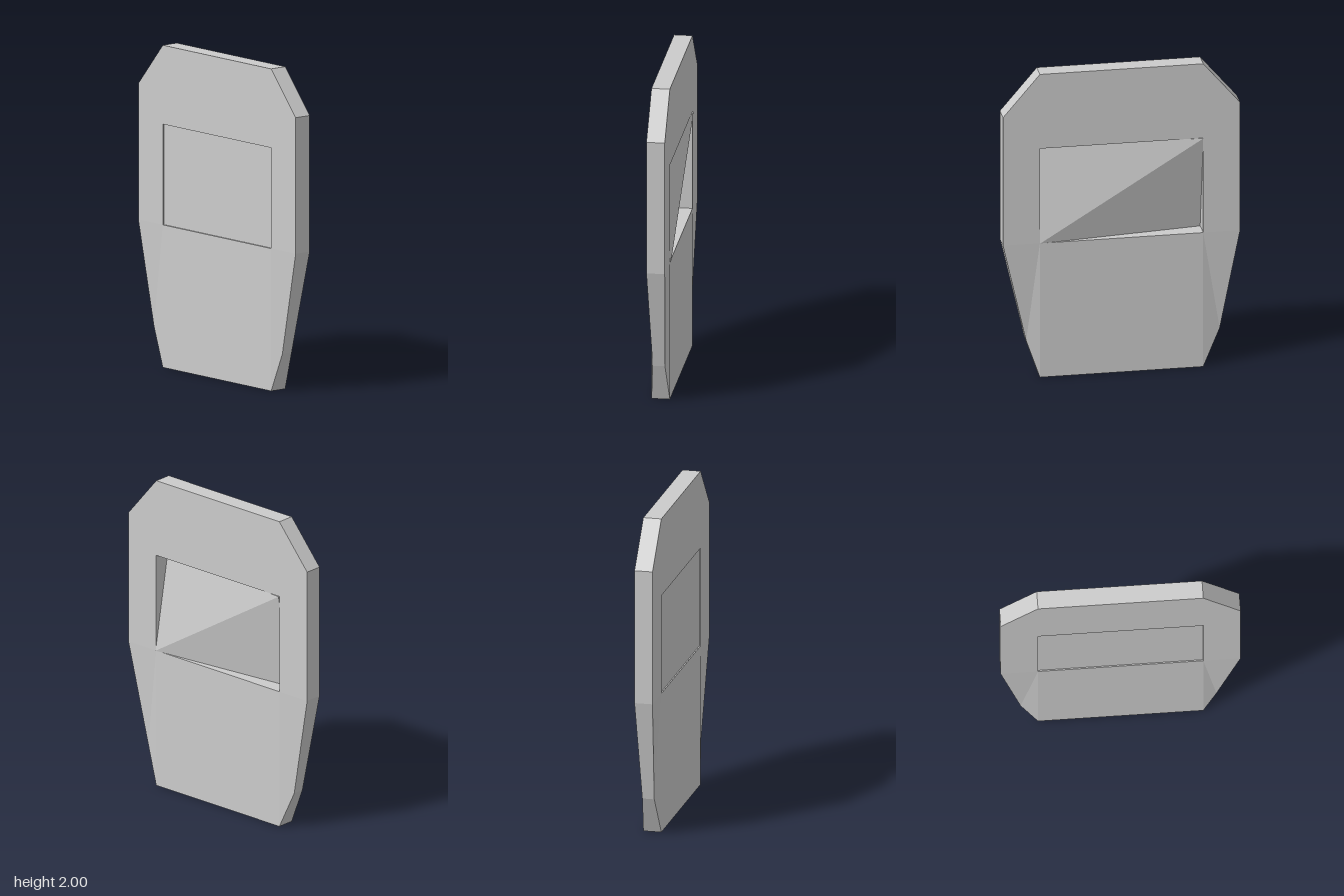
import * as THREE from 'three';

const FRONT = 0.06, BACK = -0.053, PINCH = 0.019;

// Flat-shaded mesh from corner points and convex polygons (counter-clockwise from outside)
function facetMesh(name, points, polygons, material) {
  const positions = [];
  for (const poly of polygons) {
    for (let i = 1; i < poly.length - 1; i++) {
      for (const k of [poly[0], poly[i], poly[i + 1]]) positions.push(...points[k]);
    }
  }
  const geometry = new THREE.BufferGeometry();
  geometry.setAttribute('position', new THREE.Float32BufferAttribute(positions, 3));
  geometry.computeVertexNormals();
  const mesh = new THREE.Mesh(geometry, material);
  mesh.name = name;
  return mesh;
}

// Chamfered plate with a rectangular window and pinched lower corners
function createPlate(material) {
  const outline = [
    [-0.505, 0], [0.505, 0], [0.587, 0.24], [0.733, 0.885], [0.733, 1.73],
    [0.505, 2], [-0.505, 2], [-0.733, 1.73], [-0.733, 0.885], [-0.61, 0.24],
  ];
  const opening = [[-0.505, 0.885], [0.505, 0.885], [0.505, 1.51], [-0.505, 1.51]];
  const flat = [...outline, ...opening];
  const n = flat.length;
  const pinch = (y) => (y === 0.24 ? PINCH : 0);
  const points = [
    ...flat.map(([x, y]) => [x, y, FRONT - pinch(y)]),
    ...flat.map(([x, y]) => [x, y, BACK + pinch(y)]),
  ];
  const face = [
    [0, 1, 11, 10], [1, 2, 11], [2, 3, 11], [3, 4, 12, 11], [4, 5, 12],
    [5, 6, 13, 12], [6, 7, 13], [7, 8, 10, 13], [8, 9, 10], [9, 0, 10],
  ];
  const polygons = [...face, ...face.map((p) => p.map((k) => k + n).reverse())];
  // outer rim
  for (let i = 0; i < 10; i++) {
    const j = (i + 1) % 10;
    polygons.push([i, i + n, j + n, j]);
  }
  // window walls
  for (let i = 0; i < 4; i++) {
    const a = 10 + i, b = 10 + (i + 1) % 4;
    polygons.push([a, b, b + n, a + n]);
  }
  return facetMesh('plate', points, polygons, material);
}

// Window insert: flat in front, folded along a diagonal ridge behind
function createInsert(material) {
  const w = 0.504, y0 = 0.886, y1 = 1.509, zf = 0.053, zb = -0.06;
  const points = [
    [-w, y0, zf], [w, y0, zf], [w, y1, zf], [-w, y1, zf],
    [w, y0, zb], [-w, y1, zb], // ridge ends
  ];
  const polygons = [
    [0, 1, 2, 3],
    [2, 4, 5], [0, 5, 4],       // back slopes
    [0, 4, 1], [1, 4, 2],       // sides at the lower ridge end
    [2, 5, 3], [3, 5, 0],       // sides at the upper ridge end
  ];
  return facetMesh('windowInsert', points, polygons, material);
}

export function createModel() {
  const material = new THREE.MeshStandardMaterial({ color: 0xcccccc, flatShading: true });
  const group = new THREE.Group();
  group.name = 'windowedPlate';
  group.add(createPlate(material), createInsert(material));
  return group;
}
